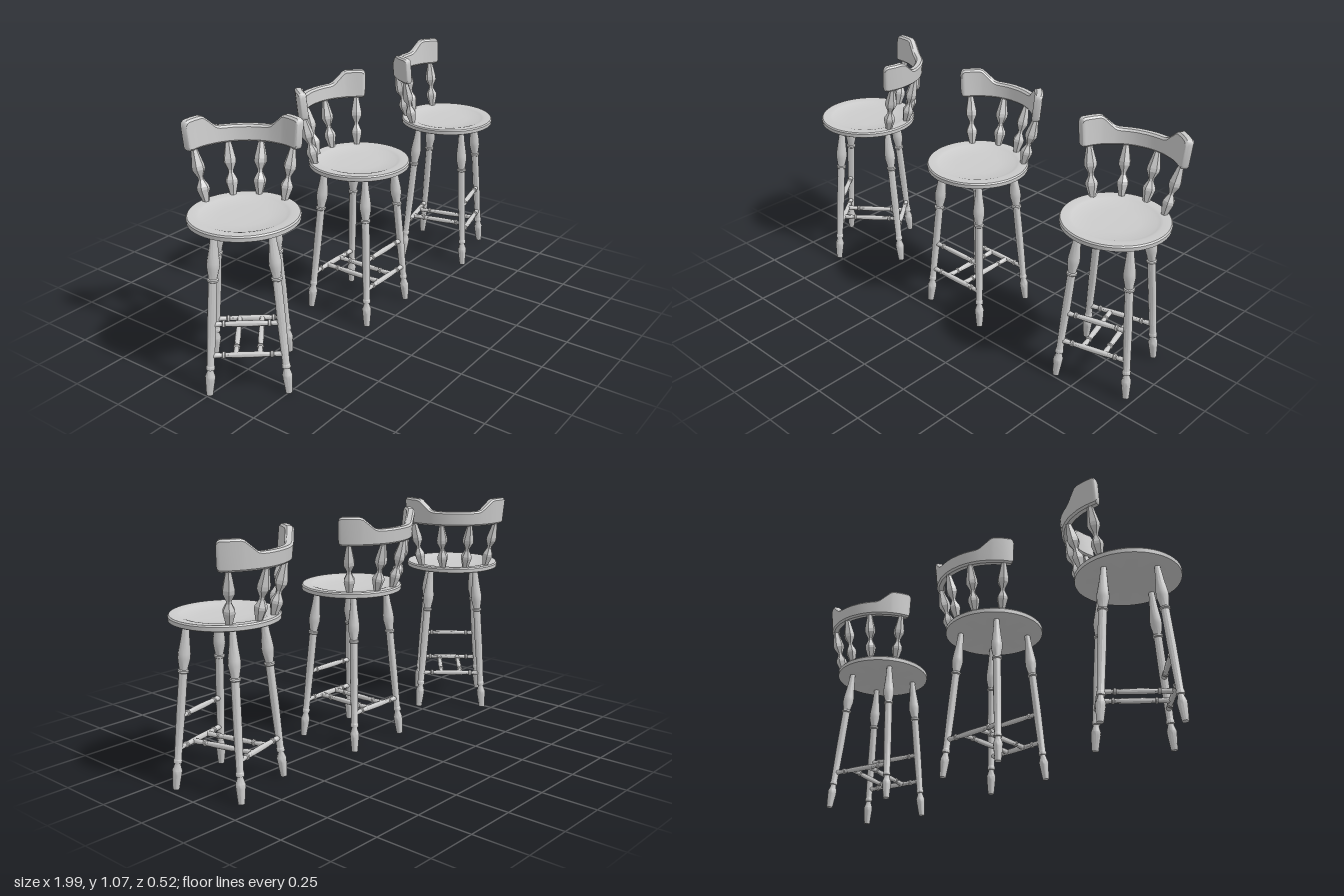
import * as THREE from 'three';
import { toCreasedNormals } from 'three/addons/utils/BufferGeometryUtils.js';

const V = (x, y, z) => new THREE.Vector3(x, y, z);
const rad = THREE.MathUtils.degToRad;
const material = new THREE.MeshStandardMaterial({ color: 0xcccccc });
const faceted = new THREE.MeshStandardMaterial({ color: 0xcccccc, flatShading: true });

// Turned part running from a to b; profile holds [fraction along, radius]
function turned(name, profile, a, b, sides = 12, flat = false) {
  const axis = b.clone().sub(a);
  const length = axis.length();
  const points = profile.map(([t, r]) => new THREE.Vector2(r, t * length));
  points.unshift(new THREE.Vector2(0, profile[0][0] * length));
  points.push(new THREE.Vector2(0, profile[profile.length - 1][0] * length));
  const lathe = new THREE.LatheGeometry(points, sides);
  const mesh = new THREE.Mesh(flat ? lathe : toCreasedNormals(lathe, 0.6), flat ? faceted : material);
  mesh.name = name;
  mesh.position.copy(a);
  mesh.quaternion.setFromUnitVectors(V(0, 1, 0), axis.normalize());
  return mesh;
}

const legProfile = [
  [0, 0.014], [0.09, 0.020], [0.115, 0.021], [0.15, 0.013], [0.158, 0.013], [0.16, 0.018],
  [0.178, 0.018], [0.185, 0.0155], [0.45, 0.0185], [0.695, 0.018], [0.7, 0.023], [0.711, 0.023],
  [0.716, 0.018], [0.725, 0.0185], [0.78, 0.026], [0.81, 0.026], [0.9, 0.018], [1, 0.012],
];
const stretcherProfile = [
  [0, 0.006], [0.015, 0.011], [0.05, 0.012], [0.13, 0.011], [0.18, 0.009], [0.19, 0.014], [0.215, 0.014],
  [0.225, 0.010], [0.36, 0.012], [0.5, 0.0125], [0.64, 0.012], [0.775, 0.010], [0.785, 0.014],
  [0.81, 0.014], [0.82, 0.009], [0.87, 0.011], [0.95, 0.012], [0.985, 0.011], [1, 0.006],
];
const spindleProfile = [
  [0, 0.014], [0.05, 0.016], [0.24, 0.027], [0.29, 0.026], [0.41, 0.012],
  [0.46, 0.012], [0.6, 0.027], [0.67, 0.027], [0.95, 0.014], [1, 0.013],
];

// Round seat with a shallow dish
function makeSeat() {
  const points = [
    [0, 0.706], [0.22, 0.706], [0.227, 0.71], [0.228, 0.727], [0.223, 0.733],
    [0.19, 0.733], [0.178, 0.73], [0.165, 0.725], [0.1, 0.721], [0, 0.72],
  ].map(([x, y]) => new THREE.Vector2(x, y));
  const seat = new THREE.Mesh(toCreasedNormals(new THREE.LatheGeometry(points, 48), 0.6), material);
  seat.name = 'seat';
  return seat;
}

// Curved crest rail: rounded sections swept round the back, raised at both ends
function makeBackrest() {
  // [angle from the centre of the back, top height, bottom height, side inset]
  const half = [
    [60.5, 1.05, 0.960, 0.008], [60, 1.059, 0.952, 0.004], [59, 1.066, 0.947, 0.001],
    [57, 1.071, 0.945, 0], [49, 1.071, 0.945, 0], [41, 1.071, 0.945, 0], [38, 1.066, 0.945, 0],
    [27, 1.022, 0.945, 0], [23, 1.016, 0.945, 0], [17, 1.015, 0.945, 0],
    [11, 1.015, 0.945, 0], [5, 1.015, 0.945, 0],
  ];
  const stations = [...half, ...half.map(([a, ...rest]) => [-a, ...rest]).reverse()];
  const c = 0.008, n = 8;
  const positions = [], index = [];
  for (const [angle, top, bottom, inset] of stations) {
    const s = Math.sin(rad(angle)), k = -Math.cos(rad(angle));
    const inner = 0.236 + inset, outer = 0.273 - inset;
    const section = [
      [inner + c, bottom], [outer - c, bottom], [outer, bottom + c], [outer, top - c],
      [outer - c, top], [inner + c, top], [inner, top - c], [inner, bottom + c],
    ];
    for (const [r, y] of section) {
      const flared = r + 0.1 * (y - 0.945);
      positions.push(flared * s, y, flared * k);
    }
  }
  const last = (stations.length - 1) * n;
  for (let i = 0; i < last; i += n) {
    for (let j = 0; j < n; j++) {
      const a = i + j, b = i + ((j + 1) % n);
      index.push(a, a + n, b, b, a + n, b + n);
    }
  }
  for (let j = 1; j < n - 1; j++) {
    index.push(0, j, j + 1, last, last + j + 1, last + j);
  }
  const geometry = new THREE.BufferGeometry();
  geometry.setAttribute('position', new THREE.Float32BufferAttribute(positions, 3));
  geometry.setIndex(index);
  // Keep the winding outward
  const p = geometry.attributes.position;
  const at = (i) => V(p.getX(i), p.getY(i), p.getZ(i));
  const [a, b, d] = index.slice(12, 15).map(at);
  const normal = b.clone().sub(a).cross(d.clone().sub(a));
  if (normal.dot(V(a.x, 0, a.z)) < 0) {
    geometry.setIndex(index.slice().reverse());
  }
  const mesh = new THREE.Mesh(toCreasedNormals(geometry, 0.6), material);
  mesh.name = 'backrest';
  return mesh;
}

function makeStool() {
  const stool = new THREE.Group();
  stool.name = 'stool';
  stool.add(makeSeat(), makeBackrest());

  // Splayed legs
  const foot = 0.161, head = 0.11, headY = 0.712;
  for (const x of [-1, 1]) {
    for (const z of [-1, 1]) {
      const name = z > 0 ? 'frontLeg' : 'backLeg';
      stool.add(turned(name, legProfile, V(x * foot, 0, z * foot), V(x * head, headY, z * head)));
    }
  }

  // Front and back stretchers, passing slightly through the legs
  const spread = (y) => foot + (head - foot) * y / headY;
  for (const [name, y, side] of [
    ['upperFrontStretcher', 0.312, 1], ['lowerFrontStretcher', 0.175, 1], ['backStretcher', 0.175, -1],
  ]) {
    const s = spread(y);
    stool.add(turned(name, stretcherProfile, V(-s - 0.014, y, side * s), V(s + 0.014, y, side * s)));
  }

  // Pair of cross stretchers joining the lower rails
  const s = spread(0.175);
  for (const x of [-0.048, 0.048]) {
    stool.add(turned('crossStretcher', stretcherProfile, V(x, 0.175, -s), V(x, 0.175, s)));
  }

  // Back spindles, leaning outward
  for (const angle of [-51, -15.5, 15.5, 51]) {
    const sin = Math.sin(rad(angle)), cos = -Math.cos(rad(angle));
    const spindle = turned('backSpindle', spindleProfile,
      V(0.203 * sin, 0.728, 0.203 * cos), V(0.255 * sin, 0.95, 0.255 * cos), 6, true);
    spindle.rotateY(rad(-angle));
    stool.add(spindle);
  }
  return stool;
}

export function createModel() {
  const model = new THREE.Group();
  model.name = 'barStools';
  // [x, z, turn in degrees]
  for (const [x, z, turn] of [[-0.757, 0.023, -51], [0.005, 0.035, 0], [0.768, 0.035, 14]]) {
    const stool = makeStool();
    stool.position.set(x, 0, z);
    stool.rotation.y = rad(turn);
    model.add(stool);
  }
  return model;
}
